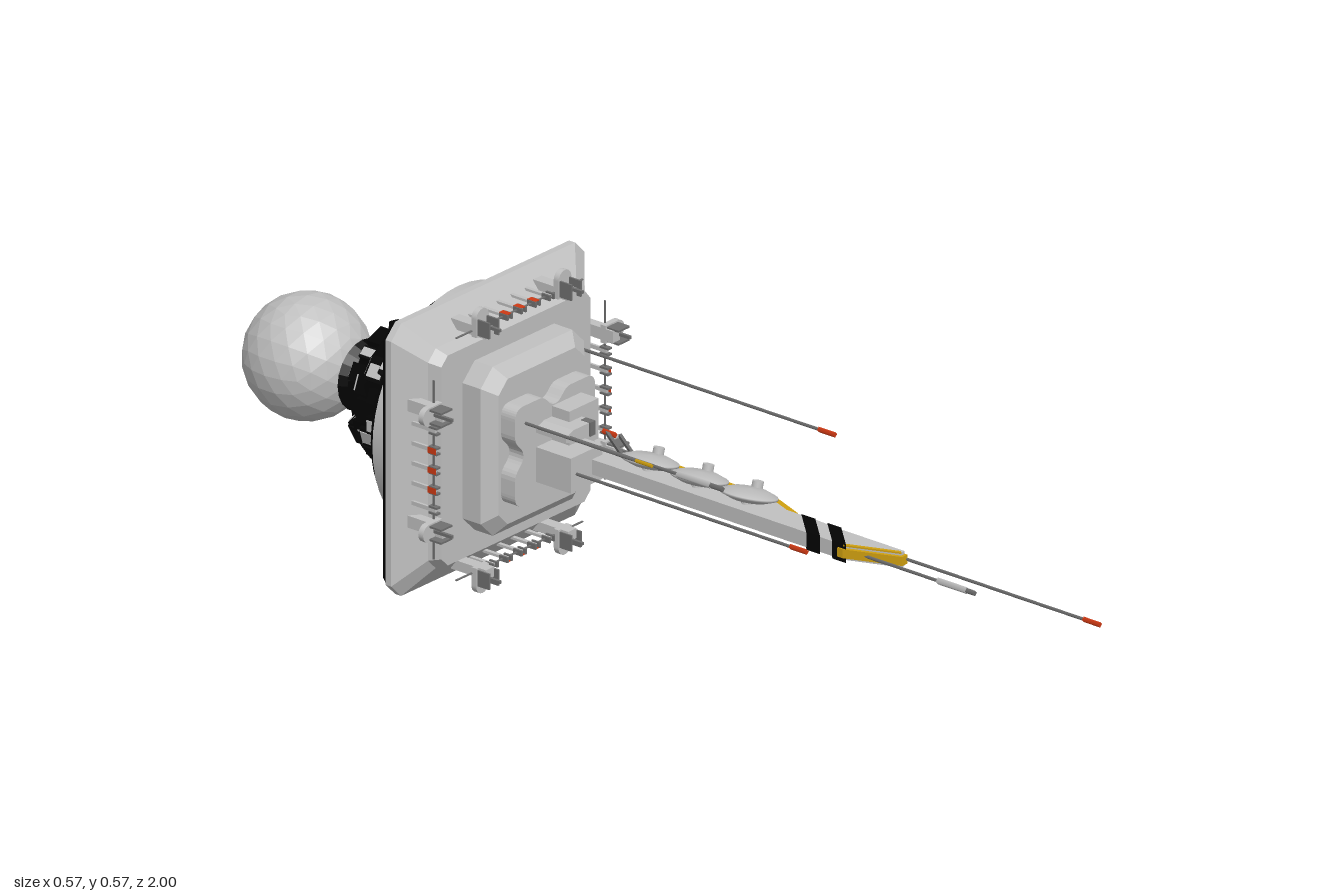
import * as THREE from 'three';

const CY = 0.289; // height of the main axis
const mat = (name, color) => Object.assign(new THREE.MeshStandardMaterial({ color }), { name });

export function createModel() {
  const hull = mat('hull grey', 0xc0c0c0), black = mat('black', 0x030303), dark = mat('dark grey', 0x707070);
  const yellow = mat('yellow', 0xd0a010), red = mat('red', 0xd03a14);
  const root = new THREE.Group();
  root.name = 'spaceStation';
  let seed = 7;
  const rand = () => (seed = (seed * 16807) % 2147483647) / 2147483647;

  const add = (name, geo, m, parent = root, p = [0, 0, 0]) => {
    const mesh = new THREE.Mesh(geo, m);
    mesh.name = name;
    mesh.position.set(...p);
    parent.add(mesh);
    return mesh;
  };
  // box given by its min and max on each axis
  const box = (name, m, x0, x1, y0, y1, z0, z1, parent = root) =>
    add(name, new THREE.BoxGeometry(x1 - x0, y1 - y0, z1 - z0), m, parent, [(x0 + x1) / 2, (y0 + y1) / 2, (z0 + z1) / 2]);

  // flat-faced skin over rings of points, listed from back to front
  const loft = (rings) => {
    const v = [], n = rings[0].length;
    const tri = (a, b, c) => v.push(...a, ...b, ...c);
    for (let i = 0; i + 1 < rings.length; i++) {
      for (let j = 0; j < n; j++) {
        const k = (j + 1) % n, A = rings[i], B = rings[i + 1];
        tri(A[j], A[k], B[k]);
        tri(A[j], B[k], B[j]);
      }
    }
    const back = rings[0], front = rings[rings.length - 1];
    for (let j = 1; j < n - 1; j++) {
      tri(back[0], back[j + 1], back[j]);
      tri(front[0], front[j], front[j + 1]);
    }
    const g = new THREE.BufferGeometry();
    g.setAttribute('position', new THREE.Float32BufferAttribute(v, 3));
    g.computeVertexNormals();
    return g;
  };
  // rectangle with cut corners
  const oct = (z, w, h, c, x = 0, y = CY) =>
    [[w, c - h], [w, h - c], [w - c, h], [c - w, h], [-w, h - c], [-w, c - h], [c - w, -h], [w - c, -h]]
      .map(([a, b]) => [x + a, y + b, z]);
  // outline in x and z, given thickness between y0 and y1
  const slab = (pts, y0, y1) => {
    const s = new THREE.Shape(pts.map(([x, z]) => new THREE.Vector2(x, z)));
    return new THREE.ExtrudeGeometry(s, { depth: y1 - y0, bevelEnabled: false }).rotateX(Math.PI / 2).translate(0, y1, 0);
  };
  // body turned about the z axis; profile is [radius, z]
  const turned = (pts, sides) => {
    const g = new THREE.LatheGeometry(pts.map(([r, z]) => new THREE.Vector2(r, z)), sides).rotateX(Math.PI / 2).toNonIndexed();
    g.computeVertexNormals();
    return g;
  };

  // main square hull with sloped front and black back
  add('mainHull', loft([oct(-0.454, 0.275, 0.274, 0.028), oct(-0.44, 0.275, 0.274, 0.028),
    oct(-0.396, 0.222, 0.221, 0.022), oct(-0.372, 0.212, 0.211, 0.018)]), hull);
  add('hullBackPlate', loft([oct(-0.467, 0.266, 0.265, 0.026), oct(-0.453, 0.274, 0.273, 0.028)]), black);
  add('frontStep', loft([oct(-0.374, 0.147, 0.17, 0.034, -0.005, 0.295), oct(-0.328, 0.147, 0.17, 0.034, -0.005, 0.295),
    oct(-0.306, 0.122, 0.146, 0.026, -0.005, 0.295)]), hull);

  // four-lobed platform
  const lobe = new THREE.Shape(), W = 0.114, H = 0.1, R = 0.025;
  lobe.moveTo(W - R, H);
  for (let k = 0; k < 4; k++) {
    const w = k % 2 ? H : W, h = k % 2 ? W : H;
    const P = (x, y) => { for (let i = 0; i < k; i++) [x, y] = [-y, x]; return [x, y]; };
    lobe.lineTo(...P(w - R, h));
    lobe.lineTo(...P(0.045, h));
    lobe.bezierCurveTo(...P(0.022, h), ...P(0.02, h - 0.024), ...P(0, h - 0.024));
    lobe.bezierCurveTo(...P(-0.02, h - 0.024), ...P(-0.022, h), ...P(-0.045, h));
    lobe.lineTo(...P(R - w, h));
    lobe.quadraticCurveTo(...P(-w, h), ...P(-w, h - R));
  }
  add('lobedPlatform', new THREE.ExtrudeGeometry(lobe, { depth: 0.036, bevelEnabled: false, curveSegments: 8 }), hull, root, [-0.006, 0.294, -0.308]);

  // control blocks on the platform
  box('upperBlock', hull, -0.015, 0.068, 0.287, 0.368, -0.28, -0.23);
  box('lowerBlock', hull, -0.06, 0.03, 0.23, 0.3, -0.28, -0.188);
  add('pointedHousing', new THREE.ExtrudeGeometry(new THREE.Shape([[0.02, 0.32], [0.02, 0.347], [-0.038, 0.347], [-0.06, 0.338], [-0.06, 0.329], [-0.038, 0.32]]
    .map(([x, y]) => new THREE.Vector2(x, y))), { depth: 0.08, bevelEnabled: false }), hull, root, [0, 0, -0.28]);
  box('housingCap', dark, 0.006, 0.021, 0.32, 0.348, -0.22, -0.197);

  // arm with a thinner ledge on its left and a slanted yellow nose face
  add('arm', slab([[0, -0.3], [0.052, -0.3], [0.052, 0.526], [0.042, 0.526], [0, 0.42]], 0.249, 0.279), hull);
  add('armLedge', slab([[0.05, -0.3], [0.068, -0.3], [0.068, 0.3], [0.054, 0.52], [0.05, 0.52]], 0.256, 0.272), hull);
  add('noseEdge', slab([[0.001, 0.412], [0.046, 0.522], [0.053, 0.522], [0.053, 0.532], [0.038, 0.532], [-0.006, 0.425], [-0.006, 0.412]], 0.255, 0.273), yellow);
  add('noseTrim', slab([[0.001, 0.418], [0.044, 0.524], [0.039, 0.529], [-0.004, 0.425]], 0.278, 0.281), yellow);
  // side panel with yellow rim
  add('sidePanel', slab([[0.06, -0.105], [0.088, -0.105], [0.088, 0.178], [0.066, 0.235], [0.06, 0.235]], 0.257, 0.271), hull);
  add('sidePanelRim', slab([[0.088, -0.11], [0.1, -0.11], [0.1, 0.18], [0.073, 0.25], [0.06, 0.25], [0.066, 0.235], [0.088, 0.178]], 0.258, 0.27), yellow);
  // slanted stripes wrapping the arm
  for (const z of [0.275, 0.338]) {
    add('armStripe', slab([[-0.003, z + 0.06], [0.0535, z], [0.0535, z + 0.033], [-0.003, z + 0.093]], 0.246, 0.282), black);
  }

  // tilted dishes on the arm
  for (const z of [-0.08, 0.04, 0.16]) {
    const dish = new THREE.Group();
    dish.name = 'dish';
    dish.position.set(0.039, 0.294, z);
    dish.rotation.z = -0.28;
    root.add(dish);
    const lens = [[0, -0.012], [0.035, -0.01], [0.055, -0.002], [0.055, 0.002], [0.035, 0.01], [0, 0.012]];
    add('dishBody', new THREE.LatheGeometry(lens.map(([r, y]) => new THREE.Vector2(r, y)), 28), hull, dish);
    add('dishKnob', new THREE.CylinderGeometry(0.011, 0.011, 0.014, 14), hull, dish, [0.033, 0.015, -0.01]);
    add('dishFoot', new THREE.CylinderGeometry(0.012, 0.012, 0.03, 10), hull, dish, [0, -0.018, 0]);
  }

  // antennas: x, y, back z, tip z, tip colour
  const rod = (name, m, r, x, y, z0, z1) =>
    add(name, new THREE.CylinderGeometry(r, r, z1 - z0, 4).rotateX(Math.PI / 2), m, root, [x, y, (z0 + z1) / 2]);
  for (const [x, y, z0, z1, tip] of [[0.052, 0.264, 0.5, 1, red], [0.013, 0.264, 0.42, 0.73, dark], [0.143, 0.413, -0.33, 0.28, red],
    [-0.043, 0.264, -0.3, 0.37, red], [-0.047, 0.335, -0.25, 0.17, dark], [-0.09, 0.358, -0.3, 0.035, yellow]]) {
    rod('antenna', dark, 0.0035, x, y, z0, z1 - 0.03);
    rod('antennaTip', tip, tip === yellow ? 0.004 : 0.0055, x, y, z1 - 0.04, z1);
  }
  rod('antennaSleeve', hull, 0.007, 0.013, 0.264, 0.64, 0.71);
  rod('antennaSleeve', hull, 0.007, -0.047, 0.335, 0.06, 0.14);
  // slanted braces beside the arm
  for (const dz of [0, 0.035]) {
    const brace = add('brace', new THREE.BoxGeometry(0.006, 0.007, 0.14), dark, root, [0.105, 0.264, -0.22 + dz]);
    brace.rotation.y = -0.6;
  }
  rod('braceTip', red, 0.006, 0.14, 0.264, -0.28, -0.25);

  // the same edge fittings on all four sides
  const tab = new THREE.Shape();
  tab.moveTo(-0.018, 0.232);
  tab.lineTo(0.018, 0.232);
  tab.lineTo(0.018, 0.268);
  tab.absarc(0, 0.268, 0.018, 0, Math.PI, false);
  const tabGeo = new THREE.ExtrudeGeometry(tab, { depth: 0.012, bevelEnabled: false });
  for (let k = 0; k < 4; k++) {
    const side = new THREE.Group();
    side.name = 'edgeFittings';
    side.position.y = CY;
    side.rotation.z = k * Math.PI / 2;
    root.add(side);
    box('rail', dark, -0.18, 0.18, 0.2425, 0.2445, -0.366, -0.362, side);
    for (let i = -2; i <= 2; i++) {
      const x = i * 0.04;
      box('railPost', hull, x - 0.004, x + 0.004, 0.241, 0.246, -0.42, -0.358, side);
      for (const s of [-0.006, 0.006]) box('railClamp', dark, x + s - 0.002, x + s + 0.002, 0.238, 0.249, -0.372, -0.352, side);
      // red markers on the outward faces
      if (Math.abs(i) < 2) box('railMarker', red, x - 0.006, x + 0.006, 0.248, 0.2495, -0.374, -0.354, side);
    }
    for (const x of [-0.117, 0.117]) {
      add('turretShield', tabGeo, hull, side, [x, 0, -0.365]);
      box('turretBase', hull, x - 0.012, x + 0.012, 0.232, 0.252, -0.42, -0.335, side);
      for (const s of [-0.013, 0.013]) box('turretArm', dark, x + s - 0.002, x + s + 0.002, 0.236, 0.268, -0.355, -0.325, side);
      box('turretGun', dark, x - 0.003, x + 0.003, 0.25, 0.256, -0.355, -0.31, side);
    }
  }

  // round collar behind the hull
  const rear = new THREE.Group();
  rear.name = 'engineSection';
  rear.position.y = CY + 0.004;
  root.add(rear);
  const collar = new THREE.CylinderGeometry(0.248, 0.244, 0.047, 48).rotateX(Math.PI / 2);
  add('collar', collar, hull, rear, [0, 0, -0.4885]);
  add('collarCap', turned([[0, -0.528], [0.23, -0.528], [0.24, -0.51], [0, -0.51]], 48), black, rear);
  add('engineBody', turned([[0, -0.69], [0.1, -0.69], [0.112, -0.665], [0.13, -0.645], [0.142, -0.6], [0.158, -0.57], [0.168, -0.52], [0, -0.52]], 16), black, rear);
  add('nozzle', turned([[0, -0.735], [0.055, -0.735], [0.07, -0.745], [0.04, -0.69], [0, -0.69]], 20), black, rear);

  // scattered machinery blocks with pale plates
  for (let i = 0; i < 72; i++) {
    const spin = new THREE.Group();
    spin.name = 'machinery';
    spin.rotation.z = i * 2.39996;
    rear.add(spin);
    const t = rand(), w = 0.012 + rand() * 0.014, r = 0.17 - t * 0.062, z = -0.545 - t * 0.13, h = 0.01 + rand() * 0.01;
    box('machineBlock', black, -w, w, r - 0.04, r + h * 0.6, z - 0.016, z + 0.022, spin);
    if (i % 3 === 0) box('backPlate', hull, -w * 0.8, w * 0.8, r - 0.028, r + 0.004, z - 0.021, z - 0.015, spin);
    if (i % 3 === 1) box('outerPlate', hull, -w * 0.65, w * 0.65, r, r + h * 0.6 + 0.002, z - 0.014, z + 0.018, spin);
  }
  // pale plates on the flat end and on the collar
  for (let i = 0; i < 10; i++) {
    const spin = new THREE.Group();
    spin.name = 'endPlates';
    spin.rotation.z = i * Math.PI / 5 + 0.2;
    rear.add(spin);
    if (i % 2) box('endPlate', hull, -0.012, 0.012, 0.066, 0.086, -0.694, -0.688, spin);
    else box('collarPlate', hull, -0.012, 0.012, 0.18, 0.2, -0.532, -0.527, spin);
  }

  // faceted sphere at the stern
  const ball = new THREE.IcosahedronGeometry(0.122, 3);
  ball.computeVertexNormals();
  add('sternSphere', ball, hull, root, [0, 0.293, -0.878]);

  return root;
}
